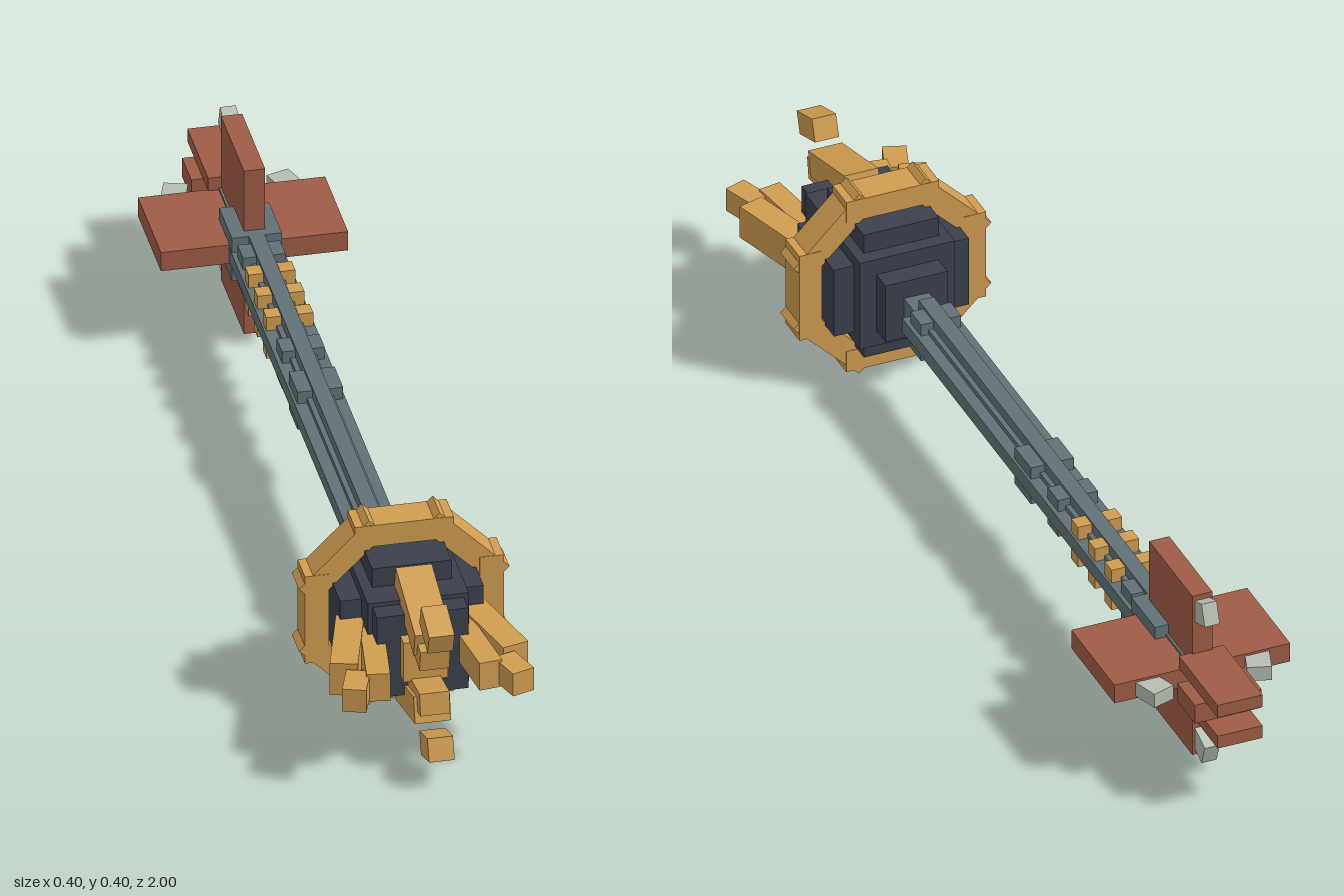
import * as THREE from 'three';

const mat = (name, color) => {
  const m = new THREE.MeshStandardMaterial({ color });
  m.name = name;
  return m;
};

export function createModel() {
  const gold = mat('gold', 0xd09c50);
  const dark = mat('dark slate', 0x3b404c);
  const steel = mat('steel', 0x627276);
  const red = mat('rust red', 0x9e5c46);
  const pale = mat('pale grey', 0xb4beb2);

  const model = new THREE.Group();
  model.name = 'mace';
  // everything sits around a long axis running along z
  const body = new THREE.Group();
  body.name = 'body';
  body.position.y = 0.199;
  model.add(body);

  // box given by half width, half height and its z range
  const block = (name, m, hx, hy, z0, z1, x = 0, y = 0) => {
    const mesh = new THREE.Mesh(new THREE.BoxGeometry(hx * 2, hy * 2, Math.abs(z1 - z0)), m);
    mesh.position.set(x, y, (z0 + z1) / 2);
    mesh.name = name;
    body.add(mesh);
    return mesh;
  };

  // stepped head core
  block('headTall', dark, 0.075, 0.135, 0.57, 0.74);
  block('headWide', dark, 0.135, 0.073, 0.57, 0.74);
  block('headMiddle', dark, 0.095, 0.095, 0.542, 0.795);
  block('headFront', dark, 0.086, 0.086, 0.6, 0.833);
  block('headCollar', dark, 0.062, 0.062, 0.5, 0.6);
  block('headStud', gold, 0.042, 0.042, 0.8, 0.86);

  // octagonal ring of eight overlapping bars
  for (let i = 0; i < 8; i++) {
    const a = (i * Math.PI) / 4;
    const h = i % 2 ? 0.031 : 0.032;
    const bar = block('ringBar', gold, 0.093, 0.0225, 0.642 - h, 0.642 + h,
      -Math.sin(a) * 0.1645, Math.cos(a) * 0.1645);
    bar.rotation.z = a;
  }

  // tilted block pairs, above/below or on both sides
  const tilted = (name, m, vertical, r, z, across, thick, length, angle) => {
    for (const s of [-1, 1]) {
      const size = vertical ? [across, thick] : [thick, across];
      const mesh = block(name, m, size[0] / 2, size[1] / 2, z - length / 2, z + length / 2,
        vertical ? 0 : s * r, vertical ? s * r : 0);
      mesh.rotation[vertical ? 'x' : 'y'] = s * THREE.MathUtils.degToRad(angle);
    }
  };

  // claws
  tilted('clawBase', gold, true, 0.093, 0.833, 0.068, 0.052, 0.175, 15.5);
  tilted('clawInner', gold, true, 0.06, 0.855, 0.056, 0.044, 0.17, 9);
  tilted('clawTip', gold, true, 0.125, 0.957, 0.048, 0.045, 0.075, 19);
  tilted('clawBase', gold, false, 0.138, 0.812, 0.068, 0.052, 0.172, 16);
  tilted('clawInner', gold, false, 0.094, 0.852, 0.058, 0.044, 0.17, 8);
  tilted('clawTip', gold, false, 0.148, 0.94, 0.048, 0.045, 0.07, 19);

  // cross-shaped shaft
  block('shaftCore', steel, 0.025, 0.025, -0.87, 0.55);
  block('shaftSideRibs', steel, 0.048, 0.015, -0.715, 0.455);
  block('shaftUprightRibs', steel, 0.015, 0.046, -0.715, 0.455);
  block('shaftSleeve', steel, 0.043, 0.04, -0.13, -0.055);
  block('shaftEnd', steel, 0.047, 0.046, -0.715, -0.605);

  // small blocks set in the four grooves
  for (const sx of [-1, 1]) {
    for (const sy of [-1, 1]) {
      for (const z of [0.41, -0.225, -0.565]) {
        block('grooveBlock', steel, 0.013, 0.013, z - 0.024, z + 0.024, sx * 0.027, sy * 0.027);
      }
      for (const z of [-0.335, -0.413, -0.49]) {
        block('grooveStud', gold, 0.014, 0.014, z - 0.016, z + 0.016, sx * 0.03, sy * 0.03);
      }
    }
  }

  // tail fins and end plates
  block('sideFins', red, 0.176, 0.02, -0.825, -0.625);
  block('uprightFins', red, 0.02, 0.175, -0.825, -0.625);
  for (const s of [-1, 1]) {
    block('tailPlate', red, 0.045, 0.0135, -1, -0.82, 0, s * 0.034);
  }
  block('tailCross', red, 0.067, 0.02, -0.945, -0.865);

  // pale tips behind the fins
  tilted('finTip', pale, true, 0.145, -0.838, 0.03, 0.044, 0.055, 20);
  tilted('finTip', pale, false, 0.104, -0.842, 0.03, 0.046, 0.055, 18);

  return model;
}
